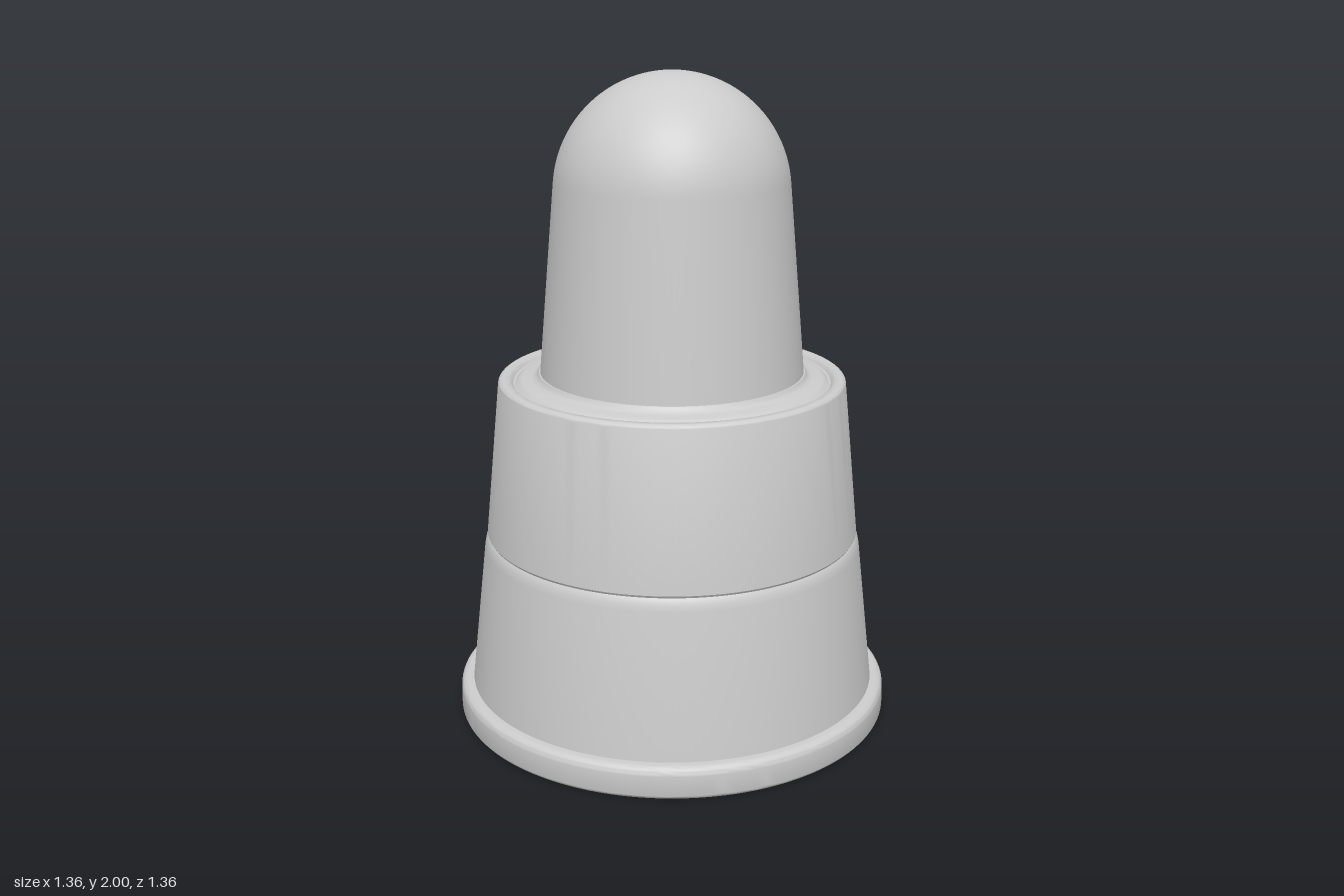
import * as THREE from 'three';
import { toCreasedNormals } from 'three/addons/utils/BufferGeometryUtils.js';

const material = new THREE.MeshStandardMaterial({ color: 0xcccccc });

// Revolves a bottom-to-top [radius, height] profile around the y axis.
function turned(name, profile) {
  const points = profile.map(([r, y]) => new THREE.Vector2(r, y));
  const geometry = toCreasedNormals(new THREE.LatheGeometry(points, 128), 0.6);
  const mesh = new THREE.Mesh(geometry, material);
  mesh.name = name;
  return mesh;
}

// Points along a circular arc, angles in radians from the outward direction.
function arc(r, y, radius, from, to, steps) {
  return Array.from({ length: steps + 1 }, (_, i) => {
    const a = from + (to - from) * i / steps;
    return [Math.max(0, r + radius * Math.cos(a)), y + radius * Math.sin(a)];
  });
}

export function createModel() {
  const model = new THREE.Group();
  model.name = 'domedCap';
  const quarter = Math.PI / 2;

  // Flat foot with rounded edges
  model.add(turned('baseFlange', [
    [0, 0],
    ...arc(0.66, 0.018, 0.018, -quarter, 0, 6),
    ...arc(0.652, 0.075, 0.025, 0, quarter, 6),
    [0.6, 0.1],
  ]));

  // Lower tapered body, narrowing into the seam
  model.add(turned('lowerBody', [
    [0.638, 0.095], [0.588, 0.545], [0.584, 0.563], [0.577, 0.58], [0.572, 0.585], [0.55, 0.585],
  ]));

  // Upper tapered body, rounded rim, shallow groove and inner shoulder
  model.add(turned('upperBody', [
    [0.55, 0.58], [0.574, 0.582], [0.579, 0.59],
    ...arc(0.517, 1.064, 0.016, 0.1, quarter, 6),
    [0.5, 1.079], [0.493, 1.074], [0.487, 1.066], [0.48, 1.064],
    [0.474, 1.068], [0.468, 1.074], [0.46, 1.077],
    [0.43, 1.078], [0.419, 1.082], [0.412, 1.09], [0.408, 1.097], [0.39, 1.097],
  ]));

  // Tapered dome with a hemispherical tip
  model.add(turned('dome', [
    [0.406, 1.07], ...arc(0, 1.645, 0.355, 0.087, quarter, 28),
  ]));

  return model;
}
